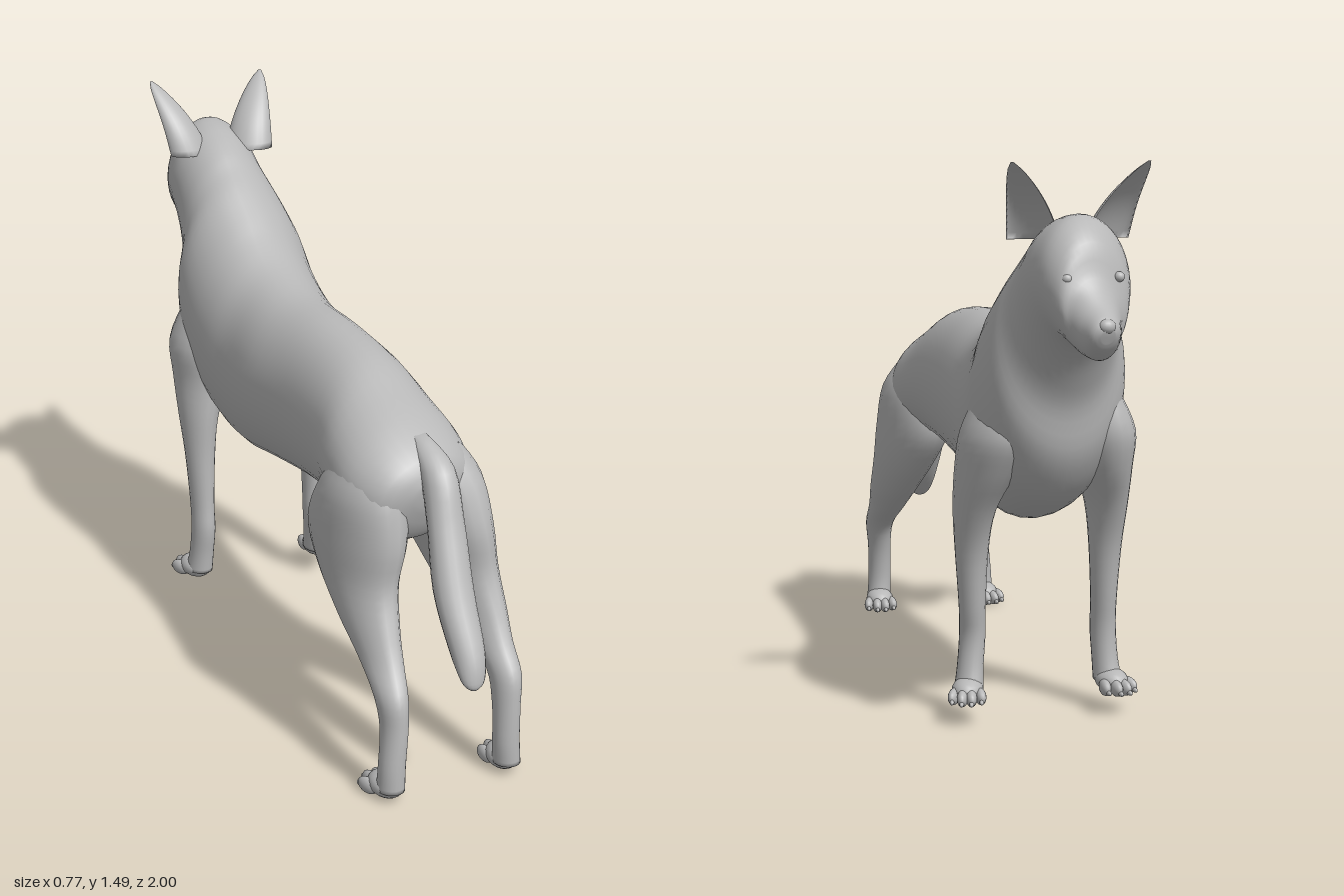
import * as THREE from 'three';

const coat = new THREE.MeshStandardMaterial({ color: 0xb8b8b8 });
coat.name = 'grey coat';
const V = (x, y, z) => new THREE.Vector3(x, y, z);

// Smoothly resample rows of ring parameters
function resample(rows, sub) {
  const out = [], n = rows.length;
  for (let i = 0; i < n - 1; i++) {
    const a = rows[Math.max(i - 1, 0)], b = rows[i], c = rows[i + 1], d = rows[Math.min(i + 2, n - 1)];
    for (let s = 0; s < sub; s++) {
      const t = s / sub;
      out.push(b.map((_, k) => 0.5 * (2 * b[k] + (c[k] - a[k]) * t + (2 * a[k] - 5 * b[k] + 4 * c[k] - d[k]) * t * t
        + (3 * b[k] - a[k] - 3 * c[k] + d[k]) * t * t * t)));
    }
  }
  out.push(rows[n - 1]);
  return out;
}

// Closed skin over rings; each ring has a centre c, two half axes u and v, and a scoop for a hollow side
function loft(rings, segs, name) {
  const pos = [], idx = [];
  for (const { c, u, v, scoop = 1 } of rings) {
    for (let j = 0; j < segs; j++) {
      const t = j / segs * Math.PI * 2, s = Math.sin(t);
      const p = c.clone().addScaledVector(u, Math.cos(t)).addScaledVector(v, s < 0 ? s * scoop : s);
      pos.push(p.x, p.y, p.z);
    }
  }
  const last = rings.length - 1, a0 = rings.length * segs;
  for (const { c, v, scoop = 1 } of [rings[0], rings[last]]) {
    const p = c.clone().addScaledVector(v, (1 - scoop) / 2);
    pos.push(p.x, p.y, p.z);
  }
  for (let j = 0; j < segs; j++) {
    const k = (j + 1) % segs;
    for (let i = 0; i < last; i++) {
      const a = i * segs + j, b = i * segs + k;
      idx.push(a, b, b + segs, a, b + segs, a + segs);
    }
    idx.push(a0, k, j, a0 + 1, last * segs + j, last * segs + k);
  }
  // Turn the faces outward
  let vol = 0;
  const at = (i) => V(pos[3 * i], pos[3 * i + 1], pos[3 * i + 2]);
  for (let i = 0; i < idx.length; i += 3) vol += at(idx[i]).dot(at(idx[i + 1]).cross(at(idx[i + 2])));
  if (vol < 0) idx.reverse();
  const g = new THREE.BufferGeometry();
  g.setAttribute('position', new THREE.Float32BufferAttribute(pos, 3));
  g.setIndex(idx);
  g.computeVertexNormals();
  const m = new THREE.Mesh(g, coat);
  m.name = name;
  return m;
}

// Limb from level rings: y, x, z, half width, half length
const limb = (rows, name) => loft(resample(rows, 4).map(([y, x, z, rx, rz]) =>
  ({ c: V(x, y, z), u: V(rx, 0, 0), v: V(0, 0, rz) })), 20, name);

function ball(name, p, r, rot = [0, 0, 0]) {
  const m = new THREE.Mesh(new THREE.SphereGeometry(1, 18, 12), coat);
  m.name = name;
  m.position.set(...p);
  m.scale.set(...r);
  m.rotation.set(...rot);
  return m;
}

// Paw with four toes, pointing to -z before its turn
function paw(name, x, y, z, turn) {
  const g = new THREE.Group();
  g.name = name;
  g.add(ball('pad', [0, 0.033, -0.025], [0.042, 0.032, 0.058]));
  for (let i = 0; i < 4; i++) {
    const s = i - 1.5, mid = Math.abs(s) < 1;
    g.add(ball('toe', [s * 0.023, 0.022, mid ? -0.075 : -0.055], [0.015, 0.022, 0.034], [0, -s * 0.15, 0]));
    g.add(ball('claw', [s * 0.026, 0.014, mid ? -0.106 : -0.086], [0.006, 0.007, 0.013]));
  }
  g.position.set(x, y, z);
  g.rotation.y = -turn;
  return g;
}

// Hollow pointed ear, opening along dir
function ear(name, base, tip, dir, halfWidth) {
  const back = V(...dir).normalize().negate();
  const side = back.clone().cross(V(0, 1, 0)).normalize();
  const rings = [];
  for (let i = 0; i <= 12; i++) {
    const t = i / 12;
    const w = halfWidth * (0.95 + 0.35 * t) * Math.pow(1 - t, 0.75) + 0.004;
    const c = V(...base).lerp(V(...tip), t).addScaledVector(back, 0.02 * Math.sin(t * Math.PI));
    rings.push({ c, u: side.clone().multiplyScalar(w), v: back.clone().multiplyScalar(w * 0.75), scoop: -0.6 });
  }
  return loft(rings, 24, name);
}

export function createModel() {
  const model = new THREE.Group();
  model.name = 'dog';

  // Rump, barrel, chest, neck, skull and muzzle: top z y, bottom z y, centre x, half width
  const trunk = [
    [0.74, 0.79, 0.73, 0.72, -0.125, 0.05],
    [0.71, 0.85, 0.68, 0.62, -0.12, 0.15],
    [0.62, 0.91, 0.57, 0.59, -0.11, 0.195],
    [0.50, 0.96, 0.46, 0.60, -0.09, 0.19],
    [0.36, 1.01, 0.34, 0.59, -0.055, 0.172],
    [0.15, 1.03, 0.15, 0.57, -0.01, 0.17],
    [-0.05, 1.03, -0.05, 0.545, 0.03, 0.185],
    [-0.20, 1.06, -0.22, 0.51, 0.075, 0.195],
    [-0.30, 1.11, -0.36, 0.53, 0.10, 0.205],
    [-0.38, 1.17, -0.50, 0.60, 0.125, 0.21],
    [-0.46, 1.23, -0.59, 0.72, 0.14, 0.195],
    [-0.52, 1.27, -0.62, 0.85, 0.155, 0.165],
    [-0.57, 1.305, -0.66, 0.93, 0.165, 0.148],
    [-0.63, 1.335, -0.71, 1.00, 0.18, 0.142],
    [-0.70, 1.355, -0.76, 1.04, 0.195, 0.136],
    [-0.78, 1.355, -0.82, 1.04, 0.215, 0.122],
    [-0.85, 1.30, -0.87, 1.025, 0.23, 0.098],
    [-0.88, 1.215, -0.90, 1.022, 0.24, 0.073],
    [-0.93, 1.16, -0.93, 1.025, 0.25, 0.057],
    [-0.98, 1.13, -0.965, 1.05, 0.262, 0.04],
    [-0.995, 1.105, -0.98, 1.07, 0.264, 0.018],
  ];
  model.add(loft(resample(trunk, 4).map(([zt, yt, zb, yb, x, w]) => ({
    c: V(x, (yt + yb) / 2, (zt + zb) / 2), u: V(w, 0, 0), v: V(0, (yt - yb) / 2, (zt - zb) / 2),
  })), 36, 'body'));

  // Face
  model.add(ball('nose', [0.264, 1.112, -0.982], [0.022, 0.018, 0.018]));
  model.add(ball('leftEye', [0.303, 1.215, -0.858], [0.014, 0.013, 0.014]));
  model.add(ball('rightEye', [0.165, 1.215, -0.868], [0.014, 0.013, 0.014]));
  model.add(ear('leftEar', [0.275, 1.29, -0.635], [0.38, 1.487, -0.725], [0.75, 0, -0.65], 0.07));
  model.add(ear('rightEar', [0.09, 1.29, -0.68], [0.04, 1.487, -0.80], [-0.1, 0, -1], 0.066));

  // Tail and sheath
  model.add(limb([
    [0.89, -0.11, 0.64, 0.02, 0.04], [0.83, -0.12, 0.735, 0.043, 0.05], [0.70, -0.14, 0.80, 0.05, 0.045],
    [0.55, -0.165, 0.865, 0.053, 0.05], [0.42, -0.18, 0.94, 0.045, 0.046], [0.355, -0.19, 0.978, 0.033, 0.025],
    [0.335, -0.195, 0.988, 0.012, 0.01],
  ], 'tail'));
  model.add(ball('sheath', [-0.06, 0.58, 0.38], [0.03, 0.032, 0.075], [-0.3, 0, 0]));

  // Front legs
  model.add(limb([
    [0.88, 0.24, -0.42, 0.06, 0.10], [0.78, 0.262, -0.42, 0.085, 0.13], [0.68, 0.28, -0.39, 0.07, 0.115],
    [0.57, 0.295, -0.355, 0.05, 0.078], [0.45, 0.292, -0.333, 0.042, 0.052], [0.30, 0.285, -0.322, 0.034, 0.042],
    [0.22, 0.28, -0.312, 0.033, 0.042], [0.14, 0.29, -0.32, 0.034, 0.04], [0.08, 0.30, -0.33, 0.037, 0.045],
  ], 'leftFrontLeg'));
  model.add(limb([
    [0.88, 0.01, -0.48, 0.06, 0.09], [0.78, -0.01, -0.48, 0.085, 0.115], [0.68, -0.025, -0.47, 0.07, 0.10],
    [0.57, -0.05, -0.445, 0.052, 0.073], [0.45, -0.06, -0.425, 0.042, 0.05], [0.30, -0.065, -0.41, 0.033, 0.042],
    [0.22, -0.068, -0.402, 0.033, 0.042], [0.14, -0.07, -0.41, 0.034, 0.04], [0.08, -0.073, -0.42, 0.037, 0.045],
  ], 'rightFrontLeg'));
  model.add(paw('leftFrontPaw', 0.30, 0.05, -0.325, 0.5));
  model.add(paw('rightFrontPaw', -0.075, 0.05, -0.415, 0.05));

  // Hind legs: height, left x, right x, left z, half width, half length
  const hind = [
    [0.84, -0.03, -0.20, 0.59, 0.07, 0.09], [0.75, 0.0, -0.225, 0.60, 0.093, 0.14],
    [0.63, 0.01, -0.238, 0.61, 0.09, 0.175], [0.52, 0.022, -0.255, 0.655, 0.073, 0.145],
    [0.42, 0.02, -0.278, 0.735, 0.057, 0.11], [0.35, 0.01, -0.295, 0.805, 0.046, 0.08],
    [0.28, 0.0, -0.318, 0.88, 0.039, 0.055], [0.20, -0.01, -0.325, 0.905, 0.034, 0.042],
    [0.10, -0.015, -0.338, 0.915, 0.035, 0.037], [0.03, -0.01, -0.34, 0.913, 0.036, 0.04],
  ];
  model.add(limb(hind.map(([y, xl, , z, rx, rz]) => [y, xl, z, rx, rz]), 'leftHindLeg'));
  model.add(limb(hind.map(([y, , xr, z, rx, rz]) => [y, xr, z - 0.07 * Math.min(1, (0.9 - y) / 0.4), rx, rz]), 'rightHindLeg'));
  model.add(paw('leftHindPaw', -0.01, 0, 0.91, 0.35));
  model.add(paw('rightHindPaw', -0.34, 0, 0.845, 0.1));
  return model;
}
